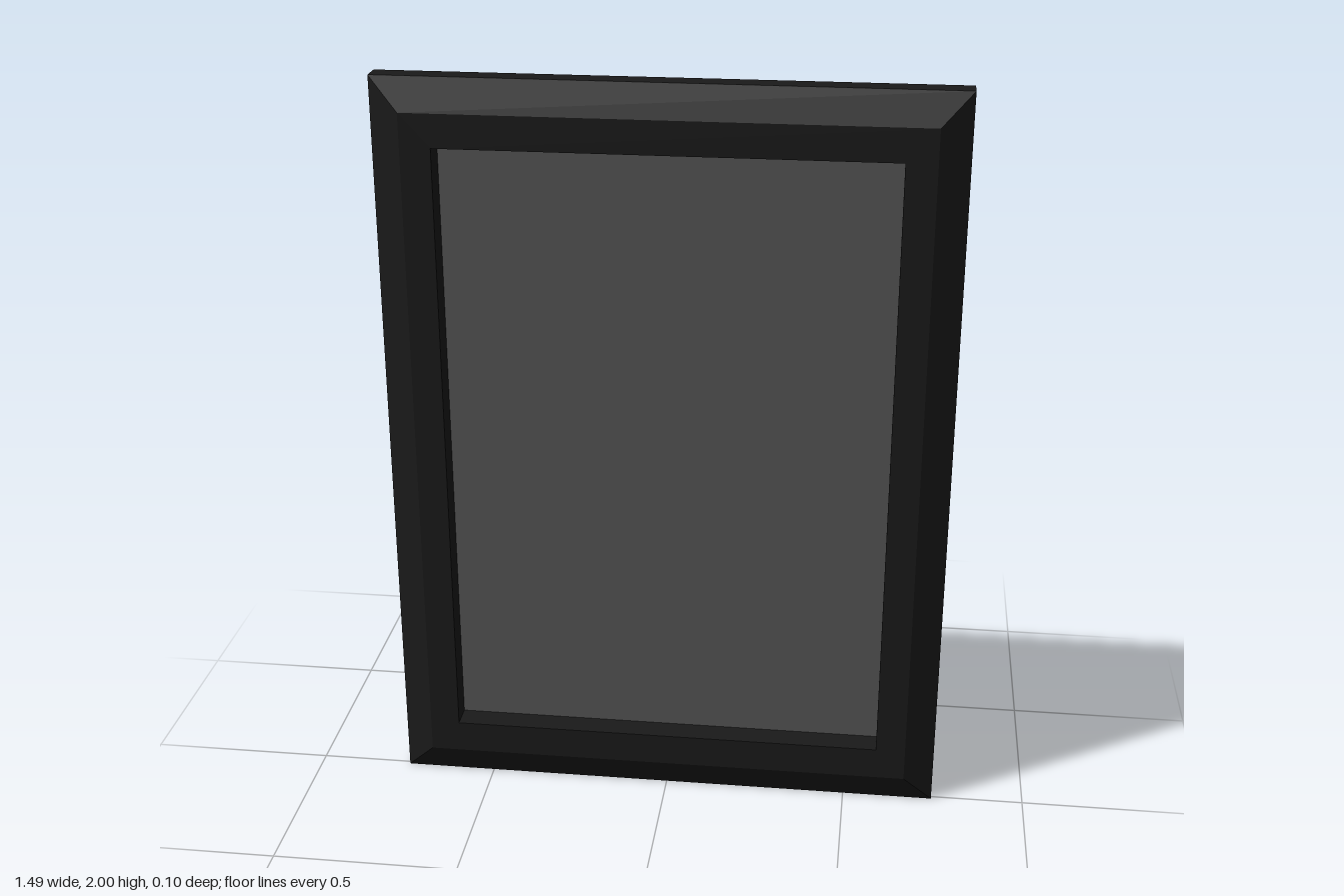
import * as THREE from 'three';

const CY = 1; // height of the centre

// Joins concentric rectangles [halfWidth, halfHeight, z] into flat mitred bands
function loftRectangles(rings) {
  const corners = [[-1, -1], [1, -1], [1, 1], [-1, 1]];
  const point = ([w, h, z], i) => [corners[i % 4][0] * w, CY + corners[i % 4][1] * h, z];
  const pos = [];
  for (let r = 0; r < rings.length - 1; r++) {
    for (let i = 0; i < 4; i++) {
      const a = point(rings[r], i), b = point(rings[r], i + 1);
      const c = point(rings[r + 1], i + 1), d = point(rings[r + 1], i);
      pos.push(...a, ...b, ...c, ...a, ...c, ...d);
    }
  }
  const geo = new THREE.BufferGeometry();
  geo.setAttribute('position', new THREE.Float32BufferAttribute(pos, 3));
  geo.computeVertexNormals();
  return geo;
}

export function createModel() {
  const group = new THREE.Group();
  const frameMat = new THREE.MeshStandardMaterial({ color: 0x1a1a1a });
  const panelMat = new THREE.MeshStandardMaterial({ color: 0x555555 });

  const add = (name, geo, mat) => {
    const mesh = new THREE.Mesh(geo, mat);
    mesh.name = name;
    group.add(mesh);
    return mesh;
  };

  const W = 0.747, H = 1, back = -0.05, front = 0.05, floor = -0.02;
  const openW = 0.587, openH = 0.828;

  // Frame: side wall, outer bevel, flat face, then wall down into the recess
  add('frame', loftRectangles([
    [W, H, back],
    [W, H, 0.01],
    [W - 0.08, H - 0.084, front],
    [openW, openH, front],
    [openW, openH, floor],
  ]), frameMat);

  // Recessed panel inside the frame
  add('panel', new THREE.PlaneGeometry(openW * 2, openH * 2), panelMat)
    .position.set(0, CY, floor);

  // Flat back
  const backing = add('backing', new THREE.PlaneGeometry(W * 2, H * 2), frameMat);
  backing.position.set(0, CY, back);
  backing.rotation.y = Math.PI;

  return group;
}
